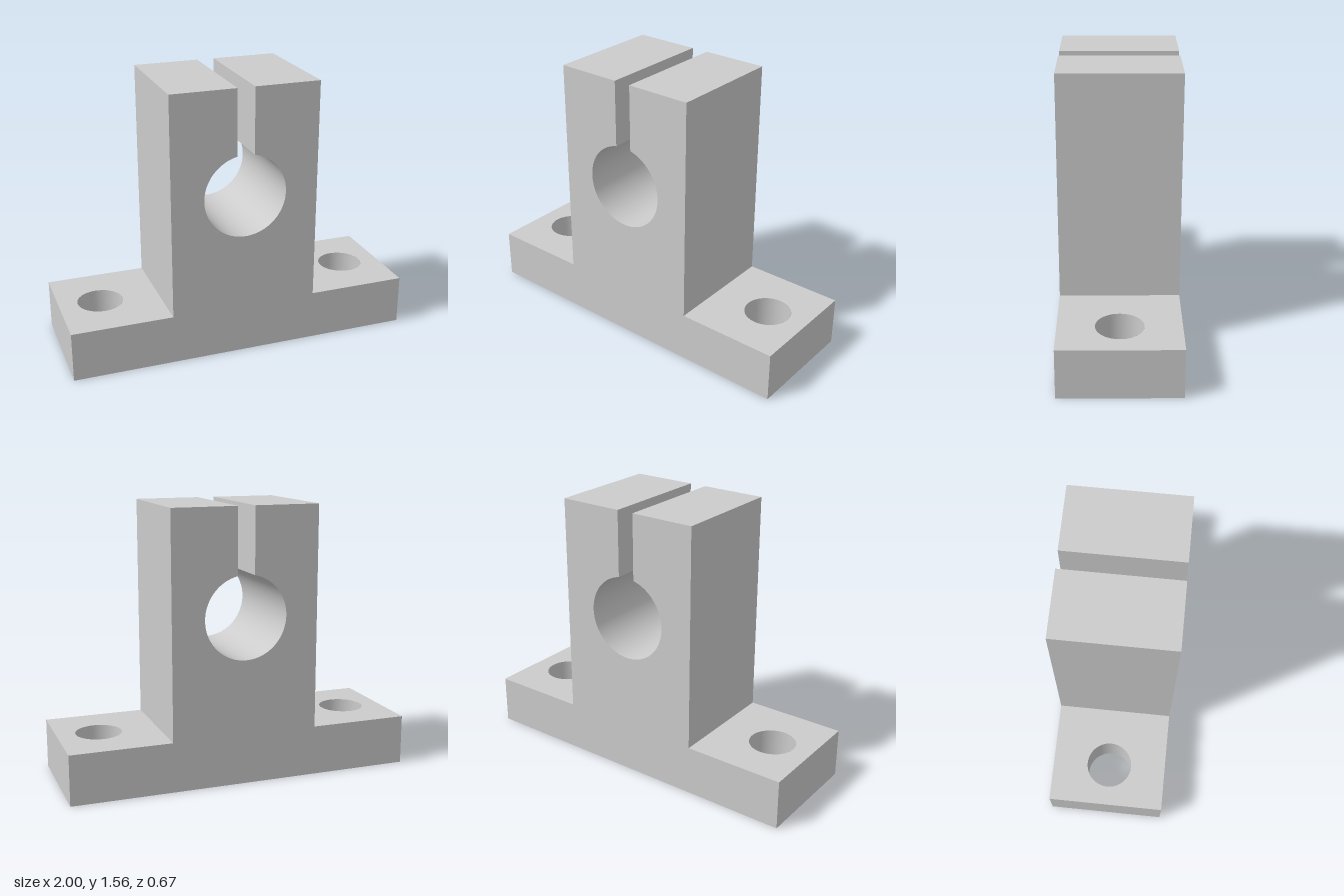
import * as THREE from 'three';
import { toCreasedNormals } from 'three/addons/utils/BufferGeometryUtils.js';

const DEPTH = 0.667, FOOT_H = 0.286, TOP = 1.562, COL = 0.425;
const BORE_Y = 0.953, BORE_R = 0.238, SLOT = 0.05;
const HOLE_X = 0.762, HOLE_R = 0.131, SEG = 48;

// Remove the triangles that lie flat at one of the given heights
function dropFlatFaces(geometry, heights) {
  const src = geometry.index ? geometry.toNonIndexed() : geometry;
  const p = src.attributes.position;
  const kept = [];
  for (let i = 0; i < p.count; i += 3) {
    const corners = [i, i + 1, i + 2];
    const flat = heights.some(h => corners.every(c => Math.abs(p.getY(c) - h) < 1e-4));
    if (!flat) for (const c of corners) kept.push(p.getX(c), p.getY(c), p.getZ(c));
  }
  const out = new THREE.BufferGeometry();
  out.setAttribute('position', new THREE.Float32BufferAttribute(kept, 3));
  return out;
}

// Flat horizontal plate from x0 to x1 with round holes
function plate(x0, x1, holeXs, y, facing) {
  const d = DEPTH / 2;
  const shape = new THREE.Shape([[x0, -d], [x1, -d], [x1, d], [x0, d]].map(c => new THREE.Vector2(...c)));
  for (const x of holeXs) {
    shape.holes.push(new THREE.Path().absarc(x, 0, HOLE_R, 0, Math.PI * 2, true));
  }
  return new THREE.ShapeGeometry(shape, SEG).rotateX(-facing * Math.PI / 2).translate(0, y, 0);
}

export function createModel() {
  const group = new THREE.Group();
  const grey = new THREE.MeshStandardMaterial({ color: 0xcccccc });
  const greyDouble = new THREE.MeshStandardMaterial({ color: 0xcccccc, side: THREE.DoubleSide });
  const add = (name, geometry, material = grey) => {
    const mesh = new THREE.Mesh(geometry, material);
    mesh.name = name;
    group.add(mesh);
  };

  // Inverted T outline with the clamping slot opening into the shaft bore
  const a = Math.asin(SLOT / BORE_R);
  const s = new THREE.Shape();
  s.moveTo(-1, 0);
  s.lineTo(1, 0);
  s.lineTo(1, FOOT_H);
  s.lineTo(COL, FOOT_H);
  s.lineTo(COL, TOP);
  s.lineTo(SLOT, TOP);
  s.lineTo(SLOT, BORE_Y + BORE_R * Math.cos(a));
  s.absarc(0, BORE_Y, BORE_R, Math.PI / 2 - a, Math.PI / 2 + a, true);
  s.lineTo(-SLOT, TOP);
  s.lineTo(-COL, TOP);
  s.lineTo(-COL, FOOT_H);
  s.lineTo(-1, FOOT_H);
  s.closePath();
  const body = new THREE.ExtrudeGeometry(s, { depth: DEPTH, bevelEnabled: false, curveSegments: SEG });
  body.translate(0, 0, -DEPTH / 2);
  add('clampBody', toCreasedNormals(dropFlatFaces(body, [0, FOOT_H]), 0.5));

  // Drilled underside
  add('underside', plate(-1, 1, [-HOLE_X, HOLE_X], 0, -1));

  // Drilled foot tops and bolt hole walls
  for (const [side, sign] of [['left', 1], ['right', -1]]) {
    const [x0, x1] = sign > 0 ? [COL, 1] : [-1, -COL];
    add(side + 'FootTop', plate(x0, x1, [sign * HOLE_X], FOOT_H, 1));
    const wall = new THREE.CylinderGeometry(HOLE_R, HOLE_R, FOOT_H, SEG, 1, true);
    add(side + 'BoltHole', wall.translate(sign * HOLE_X, FOOT_H / 2, 0), greyDouble);
  }
  return group;
}
